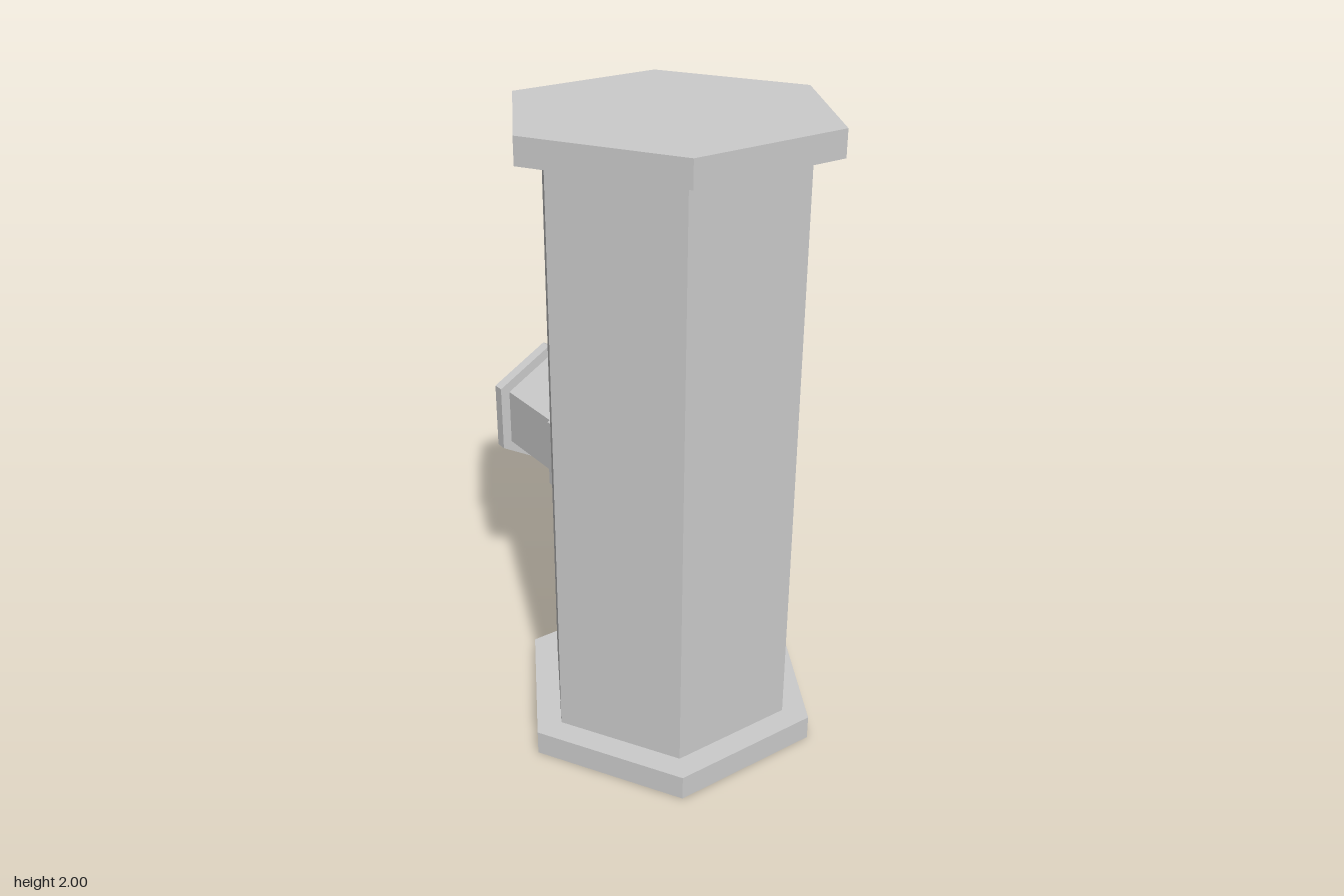
import * as THREE from 'three';

const material = new THREE.MeshStandardMaterial({ color: 0xcccccc, flatShading: true });

// Solid upright hexagonal prism with corners on the left and right
function hexPrism(name, radius, y0, y1) {
  const geometry = new THREE.CylinderGeometry(radius, radius, y1 - y0, 6);
  geometry.rotateY(Math.PI / 2);
  const mesh = new THREE.Mesh(geometry, material);
  mesh.name = name;
  mesh.position.y = (y0 + y1) / 2;
  return mesh;
}

// Hollow hexagonal ring running backwards from depth d0 to d1, corners up and down
function hexRing(name, outer, inner, d0, d1) {
  const profile = [[inner, d0], [outer, d0], [outer, d1], [inner, d1], [inner, d0]]
    .map(([r, d]) => new THREE.Vector2(r, d));
  const geometry = new THREE.LatheGeometry(profile, 6).toNonIndexed();
  geometry.rotateX(-Math.PI / 2);
  geometry.computeVertexNormals();
  const mesh = new THREE.Mesh(geometry, material);
  mesh.name = name;
  return mesh;
}

export function createModel() {
  const model = new THREE.Group();
  model.name = 'vesselWithSidePipe';

  // Upright vessel with a plate at each end
  const vessel = new THREE.Group();
  vessel.name = 'vessel';
  vessel.position.z = 0.15;
  vessel.add(
    hexPrism('bottomPlate', 0.503, 0, 0.08),
    hexPrism('body', 0.414, 0.08, 1.92),
    hexPrism('topPlate', 0.503, 1.92, 2)
  );

  // Open side pipe at the back, flanged at both ends
  const sidePipe = new THREE.Group();
  sidePipe.name = 'sidePipe';
  sidePipe.position.y = 0.82;
  const bore = 0.147;
  sidePipe.add(
    hexRing('innerFlange', 0.225, bore, 0.2, 0.245),
    hexRing('pipe', 0.188, bore, 0.245, 0.548),
    hexRing('outerFlange', 0.225, bore, 0.548, 0.586)
  );

  model.add(vessel, sidePipe);
  return model;
}
